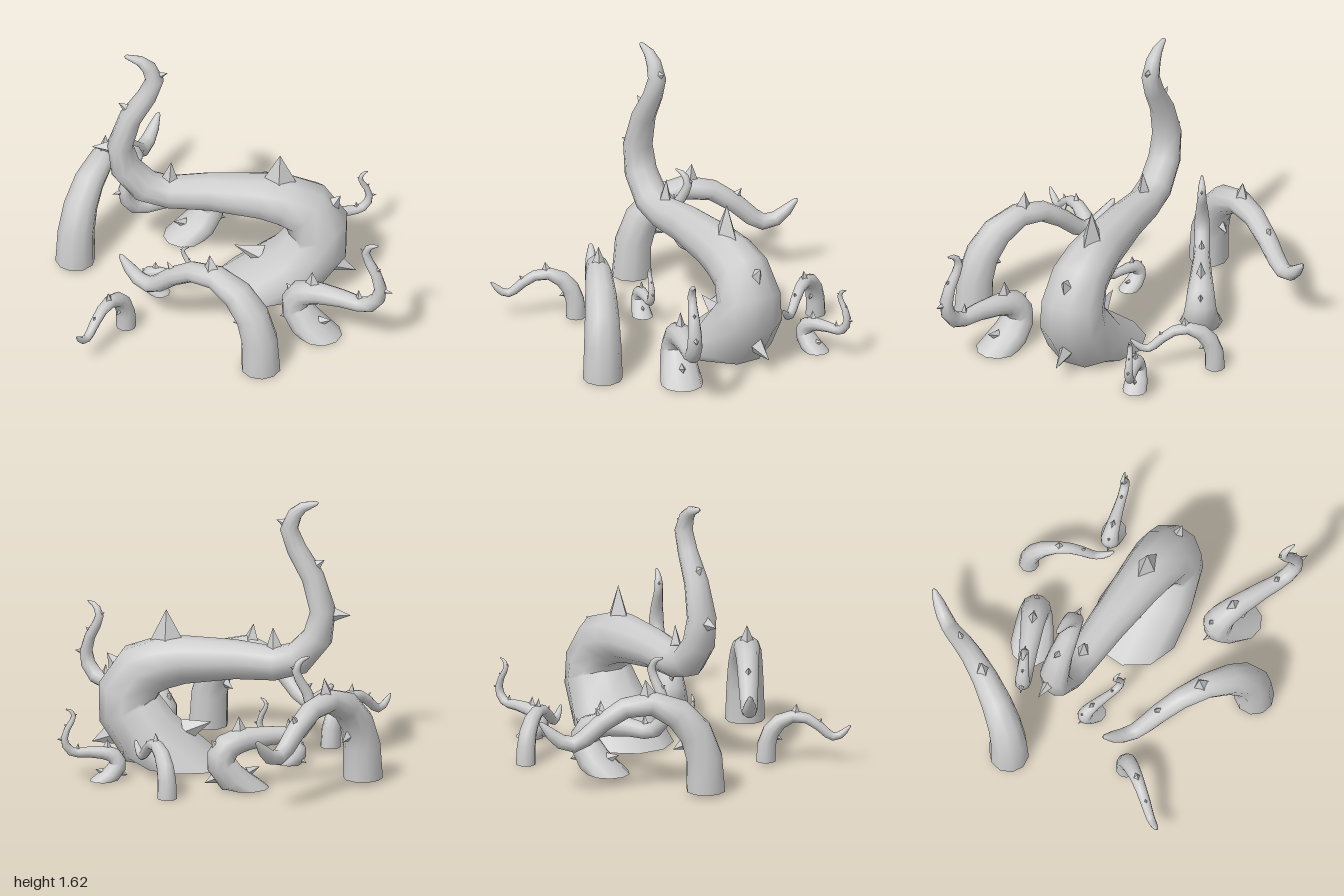
import * as THREE from 'three';

const SIDES = 10;

// Profiles lie in the local x-y plane, foot at the origin, tip towards +x.
// path: [x, y, radius, sideways radius if different]
// spikes: [baseX, baseY, tipX, tipY, halfLength, halfWidth]
const CURLED = {
  path: [
    [.015, 0, .275, .265], [-.185, .135, .192, .24], [-.31, .31, .187, .208],
    [-.315, .41, .178, .19], [-.235, .54, .17], [-.11, .59, .155],
    [.02, .615, .14], [.32, .635, .115], [.55, .625, .1],
    [.69, .665, .1], [.805, .8, .09, .097], [.835, .96, .075, .09], [.775, 1.16, .066, .073],
    [.68, 1.32, .058], [.635, 1.44, .053], [.67, 1.53, .043], [.72, 1.575, .031],
    [.8, 1.603, .013], [.812, 1.606, 0],
  ],
  spikes: [
    [-.085, .7, -.09, .91, .11, .065], [-.385, .56, -.44, .63, .055, .042],
    [.55, .7, .54, .84, .055, .042], [.88, .94, 1.0, .94, .05, .038],
    [.79, 1.225, .845, 1.265, .035, .024], [.605, 1.475, .56, 1.49, .025, .018],
    [-.39, .15, -.53, .09, .075, .045], [.02, .19, .175, .25, .07, .045],
  ],
};
const ARCHED = {
  path: [
    [0, 0, .115], [.01, .2, .108], [.06, .35, .1], [.16, .465, .09], [.31, .53, .07, .076],
    [.47, .505, .06, .065], [.6, .42, .055, .059], [.7, .328, .052], [.765, .292, .048],
    [.84, .31, .043], [.9, .36, .034], [.955, .42, .014], [.965, .43, 0],
  ],
  spikes: [
    [.335, .57, .35, .675, .055, .042], [.6, .455, .64, .51, .035, .025],
    [.11, .29, .19, .25, .05, .035],
  ],
};

// Sweep a ring of vertices along the planar path, open under the foot
function limbGeometry(path) {
  const pos = [], index = [];
  path.forEach(([x, y, r, side = r], i) => {
    const p = path[Math.max(i - 1, 0)], q = path[Math.min(i + 1, path.length - 1)];
    const t = new THREE.Vector2(q[0] - p[0], q[1] - p[1]).normalize();
    if (i === 0) t.set(0, 1); // the foot is cut level with the ground
    for (let j = 0; j < SIDES; j++) {
      const a = ((j + 0.5) / SIDES) * Math.PI * 2;
      const c = Math.cos(a) * r;
      pos.push(x + t.y * c, y - t.x * c, Math.sin(a) * side);
      if (i === 0) continue;
      const k = (j + 1) % SIDES, lo = (i - 1) * SIDES, hi = i * SIDES;
      index.push(lo + j, hi + j, lo + k, lo + k, hi + j, hi + k);
    }
  });
  const geo = new THREE.BufferGeometry();
  geo.setAttribute('position', new THREE.Float32BufferAttribute(pos, 3));
  geo.setIndex(index);
  geo.computeVertexNormals();
  return geo;
}

// Four-sided thorn, longer along the limb than across it
function spikeGeometry([bx, by, tx, ty, halfLength, halfWidth]) {
  const dx = tx - bx, dy = ty - by;
  return new THREE.ConeGeometry(1, 1, 4, 1, true)
    .translate(0, 0.5, 0)
    .scale(halfLength, Math.hypot(dx, dy), halfWidth)
    .rotateZ(Math.atan2(-dx, dy))
    .translate(bx, by, 0);
}

export function createModel() {
  const model = new THREE.Group();
  model.name = 'thornyTentacles';
  const skin = new THREE.MeshStandardMaterial({ color: 0xcccccc, side: THREE.DoubleSide });
  const thorn = new THREE.MeshStandardMaterial({
    color: 0xcccccc, flatShading: true, side: THREE.DoubleSide,
  });

  // Each kind shares its geometries between all its copies
  const build = (kind) => ({
    limb: limbGeometry(kind.path),
    spikes: kind.spikes.map(spikeGeometry),
  });
  const curled = build(CURLED), arched = build(ARCHED);

  // name, kind, foot position, ground direction of the tip, scale
  const tentacles = [
    ['mainTentacle', curled, [.22, .01, .033], [-1, 0], 1],
    ['frontLeftCurledTentacle', curled, [.555, .005, .51], [.42, .175], .47],
    ['backCurledTentacle', curled, [-.25, .005, -.385], [-.39, .2], .47],
    ['backLeftSmallTentacle', curled, [.59, 0, -.4], [.25, -.085], .27],
    ['middleSmallTentacle', curled, [-.385, 0, .155], [.95, .3], .23],
    ['frontArchedTentacle', arched, [.235, 0, .845], [-.845, -.48], 1],
    ['rightArchedTentacle', arched, [-.88, .02, -.1], [.45, -.86], 1],
    ['frontSmallArchedTentacle', arched, [-.56, .015, .5], [-.26, .4], .51],
    ['backSmallArchedTentacle', arched, [.15, 0, -.69], [.27, .4], .51],
  ];
  for (const [name, kind, foot, [dx, dz], scale] of tentacles) {
    const group = new THREE.Group();
    group.name = name;
    const limb = new THREE.Mesh(kind.limb, skin);
    limb.name = 'limb';
    group.add(limb);
    for (const geo of kind.spikes) {
      const spike = new THREE.Mesh(geo, thorn);
      spike.name = 'spike';
      group.add(spike);
    }
    group.position.set(...foot);
    group.rotation.y = Math.atan2(-dz, dx);
    group.scale.setScalar(scale);
    model.add(group);
  }
  return model;
}
